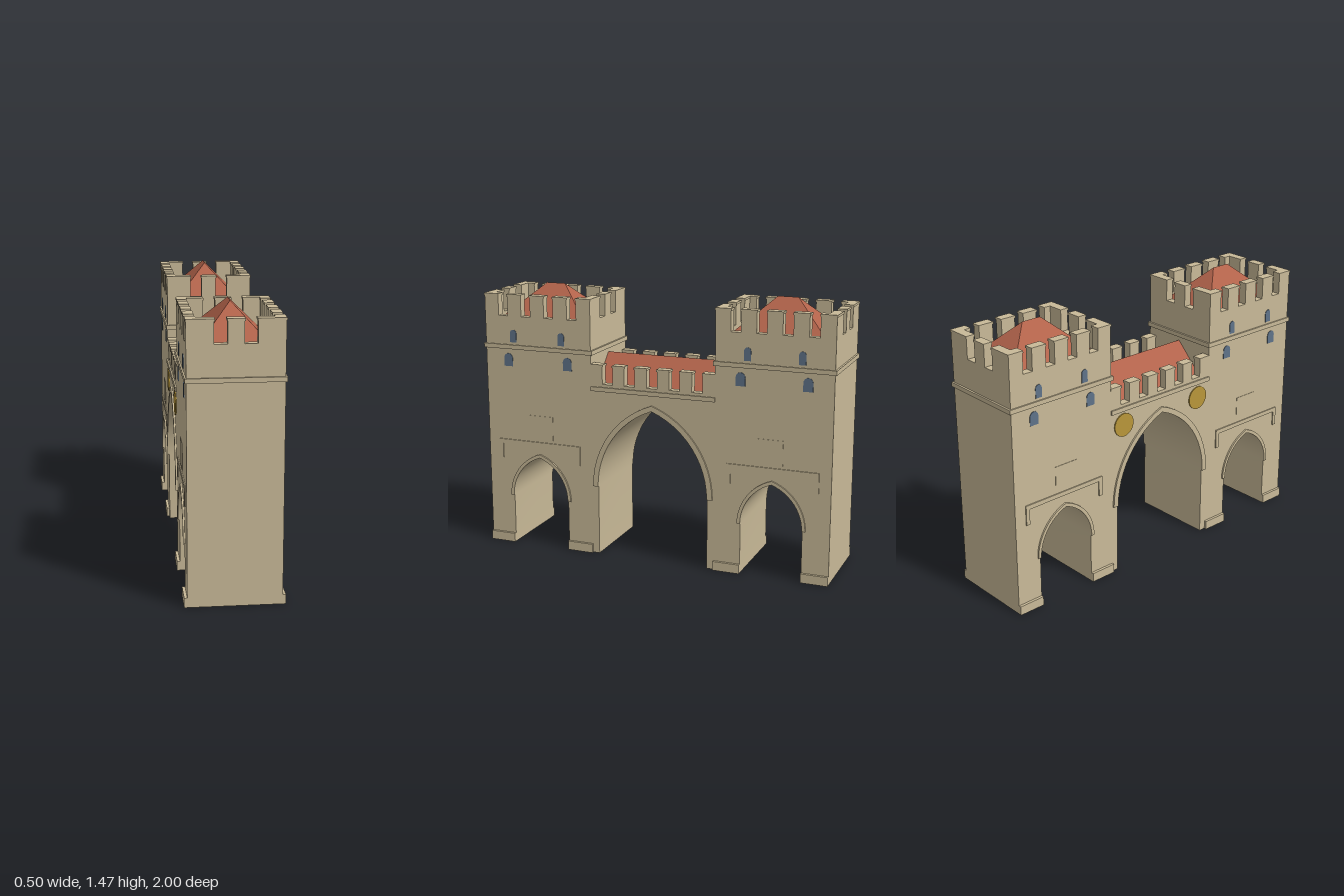
import * as THREE from 'three';
import { toCreasedNormals } from 'three/addons/utils/BufferGeometryUtils.js';

const HALF = 0.235;                      // half thickness of the gatehouse
const T0 = 0.355, T1 = 0.99;             // inner and outer end of each tower
const TC = (T0 + T1) / 2;
const WALL = 0.045;                      // parapet thickness

const mat = (name, color) => Object.assign(new THREE.MeshStandardMaterial({ color }), { name });

export function createModel() {
  const stone = mat('sandstone', 0xc9ba98);
  const tile = mat('roof tile', 0xb2634b);
  const glass = mat('window blue', 0x5f7389);
  const gold = mat('gold', 0xb8963a);
  const model = new THREE.Group();
  model.name = 'gatehouse';

  const add = (name, geo, material, parent = model) => {
    const m = new THREE.Mesh(geo, material);
    m.name = name;
    parent.add(m);
    return m;
  };
  const box = (name, x0, x1, y0, y1, z0, z1, parent) => add(name,
    new THREE.BoxGeometry(x1 - x0, y1 - y0, z1 - z0)
      .translate((x0 + x1) / 2, (y0 + y1) / 2, (z0 + z1) / 2), stone, parent);

  // Extrudes a (z, y) outline along x, from x0 to x1
  const extrudeX = (pts, x0, x1) => {
    const geo = new THREE.ExtrudeGeometry(new THREE.Shape(pts), { depth: x1 - x0, bevelEnabled: false });
    return toCreasedNormals(geo.rotateY(-Math.PI / 2).translate(x1, 0, 0), 0.5);
  };
  // Same plate on both broad faces of the building
  const onBothSides = (name, pts, out, material = stone) => {
    for (const s of [-1, 1]) {
      const a = s * (HALF - 0.002), b = s * (HALF + out);
      add(name, extrudeX(pts, Math.min(a, b), Math.max(a, b)), material);
    }
  };
  const P = (z, y) => new THREE.Vector2(z, y);
  const rect = (z0, z1, y0, y1) => [P(z0, y0), P(z1, y0), P(z1, y1), P(z0, y1)];

  // Pointed arch curve from -z springing, over the apex, to +z springing
  const arch = (zc, w, spring, apex, n = 12) => {
    const h = apex - spring, R = (w * w + h * h) / (2 * w), end = Math.asin(h / R);
    const half = [];
    for (let i = 0; i <= n; i++) {
      const a = end * i / n;
      half.push([R * Math.cos(a) - (R - w), spring + R * Math.sin(a)]);
    }
    const left = half.map(([z, y]) => P(zc - z, y));
    const right = half.slice(0, n).reverse().map(([z, y]) => P(zc + z, y));
    return [...left, ...right];
  };
  const opening = (zc, w, spring, apex) => [P(zc - w, 0), ...arch(zc, w, spring, apex), P(zc + w, 0)];

  // Body: two towers and the bridge, pierced by three arches
  const SIDE = 0.673;
  add('body', extrudeX([
    P(-T1, 0), ...opening(-SIDE, 0.169, 0.28, 0.515),
    ...opening(0, 0.317, 0.39, 0.845),
    ...opening(SIDE, 0.169, 0.28, 0.515), P(T1, 0),
    P(T1, 1.28), P(T0, 1.28), P(T0, 0.93), P(-T0, 0.93), P(-T0, 1.28), P(-T1, 1.28),
  ], -HALF, HALF), stone);

  // Arch mouldings
  const moulding = (zc, w, spring, apex, t, rise) => onBothSides('archMoulding',
    [...arch(zc, w + t, spring, apex + rise), ...arch(zc, w, spring, apex).reverse()], 0.009);
  moulding(0, 0.317, 0.39, 0.845, 0.03, 0.03);

  // Crenellated wall: solid base plus capped merlons; spans are along the wall
  const parapet = (name, alongZ, c0, c1, start, end, spans, y0, gapY, top) => {
    const g = new THREE.Group();
    g.name = name;
    const put = (n, a, b, ya, yb, o) => alongZ
      ? box(n, c0 - o, c1 + o, ya, yb, a - o, b + o, g)
      : box(n, a - o, b + o, ya, yb, c0 - o, c1 + o, g);
    put('parapetBase', start, end, y0, gapY, 0);
    for (const [a, b] of spans) {
      put('merlon', a, b, gapY, top - 0.012, 0);
      put('merlonCap', a, b, top - 0.012, top, 0.003);
    }
    model.add(g);
  };
  const evenSpans = (z0, z1, n, w) => Array.from({ length: n }, (_, i) => {
    const a = z0 + i * (z1 - z0 - w) / (n - 1);
    return [a, a + w];
  });

  // Hipped roof (ridge half-length r) or gable when r equals the half-length
  const roof = (name, zc, w, len, r, y0, y1) => {
    const A = [-w, y0, zc - len], B = [w, y0, zc - len], C = [w, y0, zc + len], D = [-w, y0, zc + len];
    const E = [0, y1, zc - r], F = [0, y1, zc + r];
    const tris = [A, D, F, A, F, E, C, B, E, C, E, F, D, C, F, B, A, E];
    const geo = new THREE.BufferGeometry();
    geo.setAttribute('position', new THREE.Float32BufferAttribute(tris.flat(), 3));
    geo.computeVertexNormals();
    add(name, geo, tile);
  };

  // Round-headed window outline
  const windowShape = (zc, w, y0, y1) => {
    const pts = [P(zc - w, y0), P(zc + w, y0)];
    for (let i = 0; i <= 8; i++) {
      const a = Math.PI * i / 8;
      pts.push(P(zc + w * Math.cos(a), y1 - w + w * Math.sin(a)));
    }
    return pts;
  };

  for (const s of [-1, 1]) {
    const span = (a, b) => [Math.min(s * a, s * b), Math.max(s * a, s * b)];
    const [z0, z1] = span(T0, T1);

    // Tower string course
    box('towerStringCourse', -0.243, 0.243, 1.122, 1.146, ...span(T0 - 0.01, 1));

    // Tower parapets
    for (const x of [-HALF, HALF - WALL])
      parapet('towerSideParapet', true, x, x + WALL, z0, z1, evenSpans(z0, z1, 5, 0.083), 1.28, 1.305, 1.425);
    const xi = HALF - WALL;
    for (const z of [z0, z1 - WALL])
      parapet('towerEndParapet', false, z, z + WALL, -xi, xi,
        [[-xi, -0.103], [-0.04, 0.04], [0.103, xi]], 1.28, 1.305, 1.425);
    roof('towerRoof', s * 0.67, 0.168, 0.247, 0.055, 1.29, 1.465);

    // Side arch moulding and square label above it
    moulding(s * SIDE, 0.169, 0.28, 0.515, 0.018, 0.02);
    const [l0, l1] = span(0.425, 0.925);
    onBothSides('labelMoulding', [
      P(l0, 0.495), P(l0 + 0.022, 0.495), P(l0 + 0.022, 0.58), P(l1 - 0.022, 0.58),
      P(l1 - 0.022, 0.495), P(l1, 0.495), P(l1, 0.604), P(l0, 0.604)], 0.006);
    onBothSides('squarePanel', rect(...span(0.59, 0.73), 0.62, 0.755), 0.002);

    // Plinths
    onBothSides('plinth', rect(...span(0.842, T1), 0, 0.05), 0.015);
    onBothSides('plinth', rect(...span(T0, 0.504), 0, 0.05), 0.015);

    // Windows
    for (const z of [0.53, 0.82]) onBothSides('upperWindow', windowShape(s * z, 0.019, 1.16, 1.23), 0.003, glass);
    for (const z of [0.494, 0.853]) onBothSides('lowerWindow', windowShape(s * z, 0.026, 1.025, 1.097), 0.003, glass);

    // Gold roundels, on the right face only
    const disc = add('roundel', new THREE.CylinderGeometry(0.065, 0.065, 0.008, 24).rotateZ(Math.PI / 2), gold);
    disc.position.set(-HALF - 0.002, 0.85, s * 0.27);
  }

  // Bridge string course, parapets and gabled roof
  onBothSides('bridgeStringCourse', rect(-T0, T0, 0.928, 0.952), 0.008);
  for (const x of [-HALF, HALF - WALL])
    parapet('bridgeParapet', true, x, x + WALL, -T0, T0, evenSpans(-T0, T0, 6, 0.068), 0.93, 0.968, 1.075);
  roof('bridgeRoof', 0, 0.168, T0, T0, 0.931, 1.1);

  return model;
}
